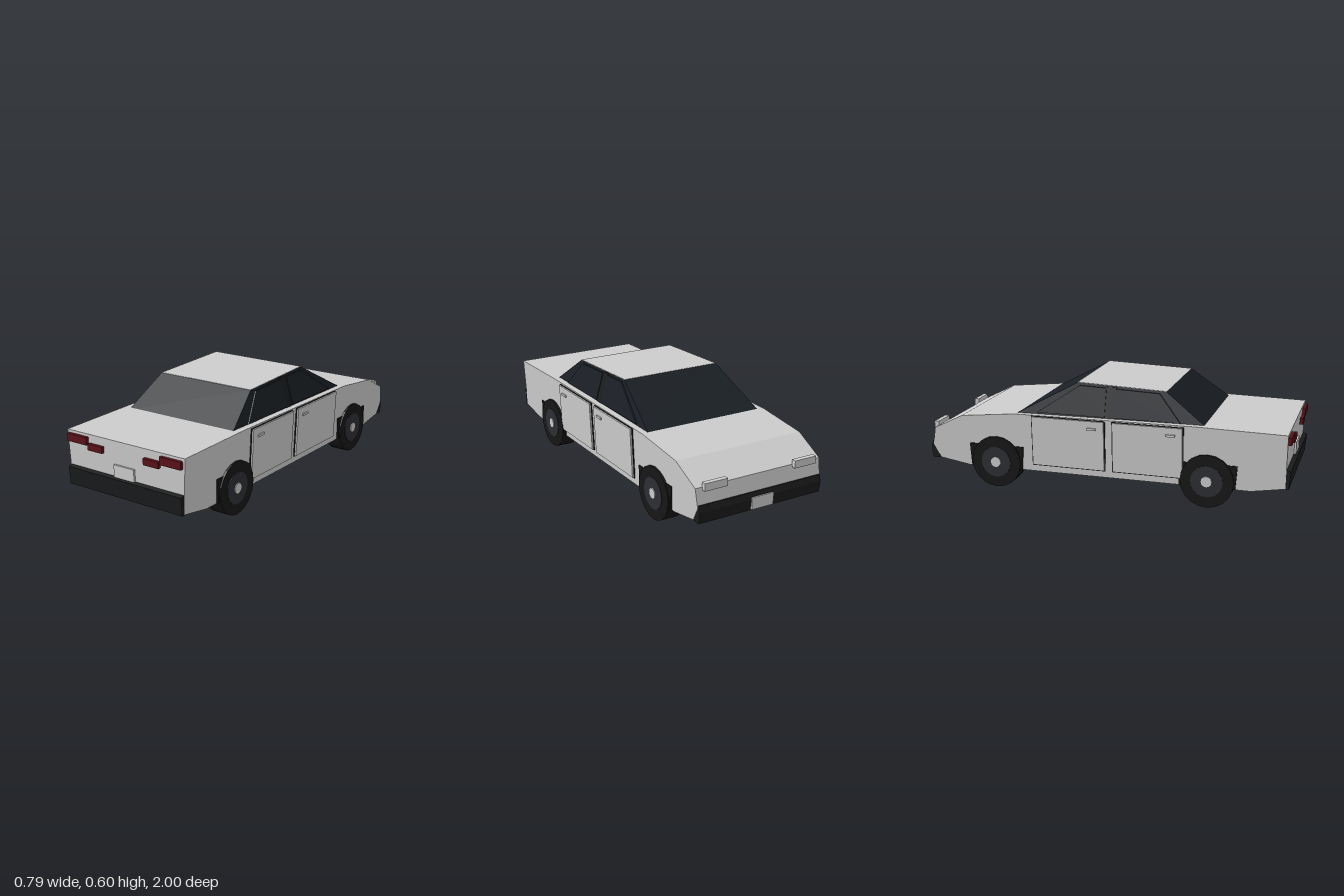
import * as THREE from 'three';

const mat = (color) => new THREE.MeshStandardMaterial({ color, flatShading: true });

// Extrudes a side profile of [z, y] points across x, from lo(y) to hi(y).
function prism(profile, lo, hi) {
  const shape = new THREE.Shape(profile.map(([z, y]) => new THREE.Vector2(z, y)));
  const g = new THREE.ExtrudeGeometry(shape, { depth: 1, bevelEnabled: false });
  g.rotateY(-Math.PI / 2);
  const p = g.attributes.position;
  for (let i = 0; i < p.count; i++) {
    const y = p.getY(i), t = 1 + p.getX(i);
    p.setX(i, THREE.MathUtils.lerp(lo(y), hi(y), t));
  }
  g.computeVertexNormals();
  return g;
}

const rect = (z0, z1, y0, y1) => [[z0, y0], [z1, y0], [z1, y1], [z0, y1]];

// Half widths of the lower body and of the cabin at height y
const bodyW = (y) => 0.361 + (y - 0.105) * 0.045;
const cabinW = (y) => 0.338 - (y - 0.425) * 0.28;

export function createModel() {
  const car = new THREE.Group();
  car.name = 'car';
  const paint = mat(0xcccccc), glass = mat(0x1a1f25), black = mat(0x1a1b1c);
  const rubber = mat(0x161616), rim = mat(0x2c2e33), red = mat(0x5a1218);

  const add = (name, geometry, material) => {
    const m = new THREE.Mesh(geometry, material);
    m.name = name;
    car.add(m);
    return m;
  };
  const full = (name, profile, w, material) => add(name, prism(profile, (y) => -w(y), w), material);
  // One slab on side s, lying on the surface w between offsets a and b
  const slab = (name, s, profile, w, a, b, material) => {
    const inner = (y) => s * (w(y) + a), outer = (y) => s * (w(y) + b);
    return add(name, s > 0 ? prism(profile, inner, outer) : prism(profile, outer, inner), material);
  };
  const box = (name, x, y, z, w, h, d, material) => {
    const m = add(name, new THREE.BoxGeometry(w, h, d), material);
    m.position.set(x, y, z);
    return m;
  };

  // Lower body
  full('body', [
    [0.98, 0.42], [0.5, 0.428], [-0.49, 0.42], [-0.8, 0.387], [-0.965, 0.305],
    [-0.982, 0.21], [-0.94, 0.133], [-0.77, 0.105], [0.8, 0.105], [0.975, 0.135],
  ], bodyW, paint);

  // Cabin and roof skin
  full('cabin', [[0.555, 0.42], [0.335, 0.58], [-0.155, 0.597], [-0.49, 0.415]], cabinW, glass);
  full('roof', [[0.335, 0.577], [0.335, 0.582], [-0.155, 0.599], [-0.155, 0.594]],
    (y) => cabinW(y) - 0.001, paint);

  // Bumpers and number plates
  full('rearBumper', [[0.97, 0.133], [0.992, 0.133], [1.0, 0.228], [0.975, 0.235]], () => 0.362, black);
  full('frontBumper', [[-0.945, 0.13], [-0.988, 0.13], [-0.997, 0.19], [-0.987, 0.222], [-0.97, 0.222]],
    () => 0.362, black);
  box('rearPlate', 0, 0.266, 0.982, 0.129, 0.065, 0.012, paint);
  box('frontPlate', 0, 0.168, -0.992, 0.129, 0.064, 0.016, paint);

  for (const s of [1, -1]) {
    // Lights
    box('outerTailLight', s * 0.298, 0.385, 0.985, 0.128, 0.041, 0.024, red);
    box('innerTailLight', s * 0.179, 0.359, 0.985, 0.093, 0.034, 0.024, red);
    box('headlight', s * 0.265, 0.31, -0.975, 0.13, 0.04, 0.026, paint);

    // Doors with dark gaps behind them, and handles
    for (const [z0, z1, handle] of [[0.065, 0.442, 0.378], [-0.385, 0.018, -0.048]]) {
      slab('doorGap', s, rect(z0 - 0.005, z1 + 0.005, 0.14, 0.419), bodyW, -0.01, 0.005, black);
      slab('door', s, rect(z0, z1, 0.145, 0.415), bodyW, 0, 0.014, paint);
      box('doorHandle', s * 0.388, 0.373, handle, 0.014, 0.012, 0.05, paint);
    }

    // Side windows and the pillar between them
    slab('rearSideWindow', s, [[0.42, 0.43], [0.3, 0.57], [0.065, 0.578], [0.065, 0.43]],
      cabinW, -0.01, 0.008, glass);
    slab('frontSideWindow', s, [[0.01, 0.43], [0.01, 0.58], [-0.14, 0.584], [-0.37, 0.43]],
      cabinW, -0.01, 0.008, glass);
    slab('doorPillar', s, rect(0.01, 0.065, 0.425, 0.586), cabinW, -0.01, 0.004, black);

    // Wheels
    for (const z of [0.572, -0.6]) {
      slab('wheelArch', s, [[z - 0.148, 0.108], [z + 0.148, 0.108], [z + 0.158, 0.235], [z - 0.158, 0.235]],
        () => 0.37, -0.085, 0.002, rubber);
      const disc = (name, r, x0, x1, sides, material) => {
        const g = new THREE.CylinderGeometry(r, r, x1 - x0, sides).rotateZ(Math.PI / 2);
        add(name, g, material).position.set(s * (x0 + x1) / 2, 0.142, z);
      };
      disc('tyre', 0.142, 0.285, 0.38, 20, rubber);
      disc('rim', 0.085, 0.3, 0.383, 20, rim);
      disc('hubCap', 0.029, 0.3, 0.388, 12, paint);
    }
  }
  return car;
}
